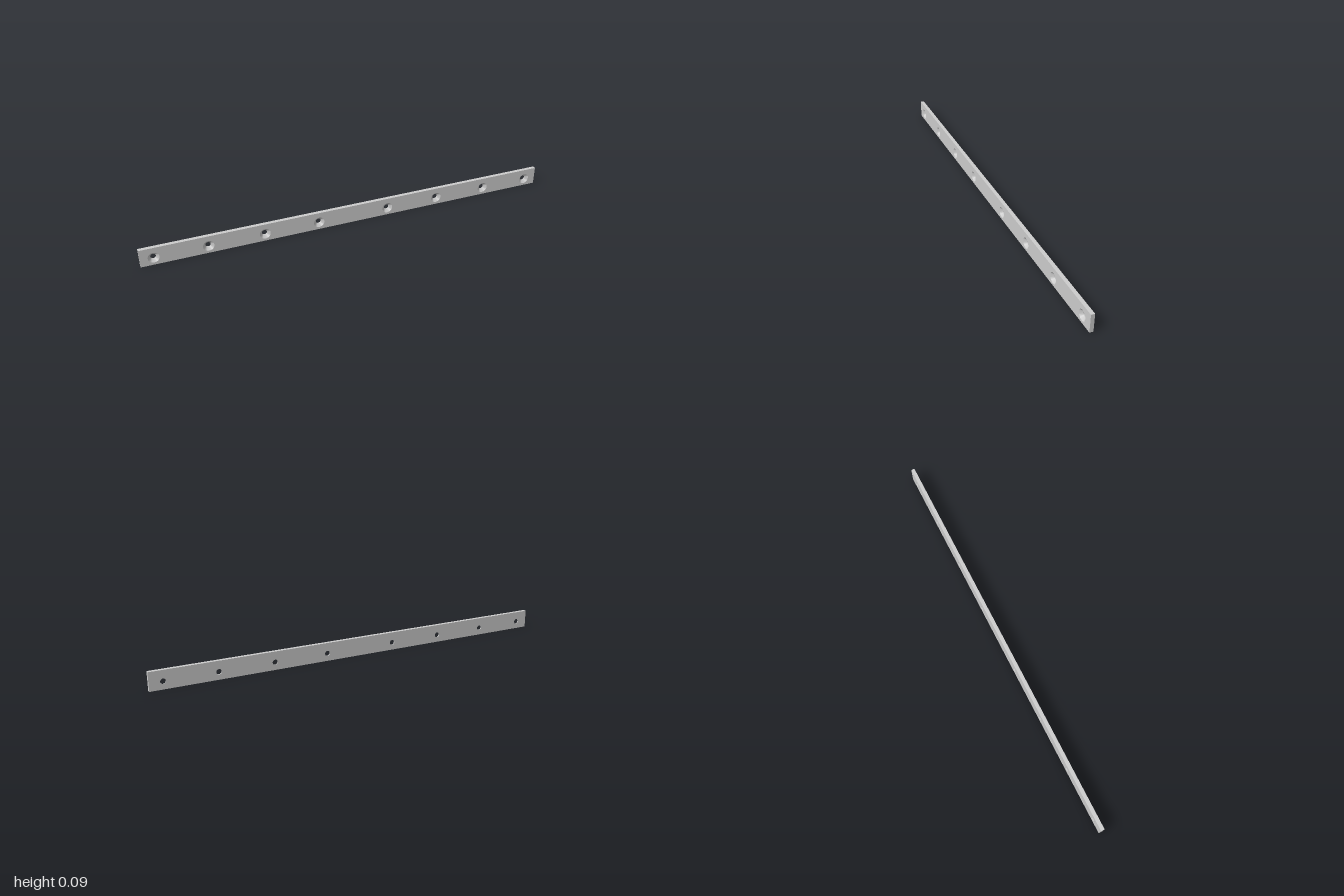
import * as THREE from 'three';
import { toCreasedNormals } from 'three/addons/utils/BufferGeometryUtils.js';

const LENGTH = 2, HEIGHT = 0.087, DEPTH = 0.0174;
const HOLE_Y = 0.0365, HOLE_R = 0.0125, SINK_R = 0.0255, SINK_DEPTH = 0.0125;
const HOLE_X = [0.174, 0.435, 0.696, 0.939].flatMap(x => [-x, x]);
const SEGMENTS = 32;

// Bar outline with a row of round openings
function faceGeometry(radius) {
  const w = LENGTH / 2;
  const shape = new THREE.Shape([
    new THREE.Vector2(-w, 0), new THREE.Vector2(w, 0),
    new THREE.Vector2(w, HEIGHT), new THREE.Vector2(-w, HEIGHT),
  ]);
  for (const x of HOLE_X) {
    const points = [];
    for (let i = 0; i < SEGMENTS; i++) {
      const a = (i / SEGMENTS) * Math.PI * 2;
      points.push(new THREE.Vector2(x + radius * Math.sin(a), HOLE_Y + radius * Math.cos(a)));
    }
    shape.holes.push(new THREE.Path(points));
  }
  return new THREE.ShapeGeometry(shape);
}

export function createModel() {
  const group = new THREE.Group();
  group.name = 'drilledBar';
  const material = new THREE.MeshStandardMaterial({ color: 0xcccccc, side: THREE.DoubleSide });
  const add = (name, geometry, x = 0, y = 0, z = 0) => {
    const mesh = new THREE.Mesh(geometry, material);
    mesh.name = name;
    mesh.position.set(x, y, z);
    group.add(mesh);
    return mesh;
  };

  // Broad faces: wide openings in front, narrow ones behind
  add('frontFace', faceGeometry(SINK_R), 0, 0, DEPTH / 2);
  // Holes are mirror-symmetric in x, so a half turn keeps them aligned
  add('backFace', faceGeometry(HOLE_R).rotateY(Math.PI), 0, 0, -DEPTH / 2);

  // Long edges and ends
  const edge = new THREE.PlaneGeometry(LENGTH, DEPTH);
  add('topEdge', edge, 0, HEIGHT).rotation.x = -Math.PI / 2;
  add('bottomEdge', edge).rotation.x = Math.PI / 2;
  const end = new THREE.PlaneGeometry(DEPTH, HEIGHT);
  for (const side of [-1, 1]) {
    add(side > 0 ? 'leftEnd' : 'rightEnd', end, side * LENGTH / 2, HEIGHT / 2)
      .rotation.y = side * Math.PI / 2;
  }

  // Countersunk bores, conical at the front and straight behind
  const bore = toCreasedNormals(new THREE.LatheGeometry([
    new THREE.Vector2(SINK_R, DEPTH / 2),
    new THREE.Vector2(HOLE_R, DEPTH / 2 - SINK_DEPTH),
    new THREE.Vector2(HOLE_R, -DEPTH / 2),
  ], SEGMENTS).rotateX(Math.PI / 2), 0.5);
  for (const x of HOLE_X) add('countersunkHole', bore, x, HOLE_Y);

  return group;
}
